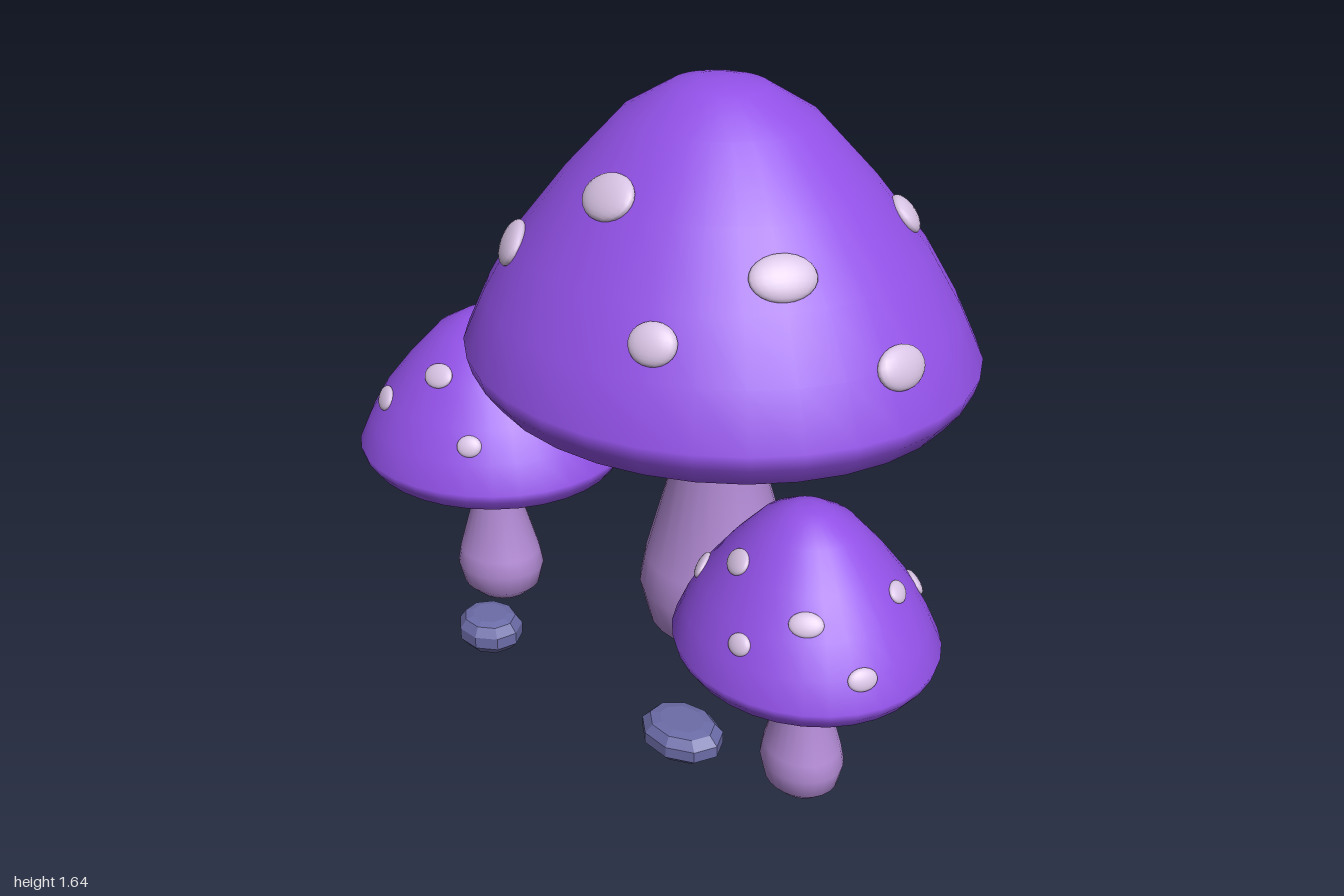
import * as THREE from 'three';

const mat = (name, color) => {
  const m = new THREE.MeshStandardMaterial({ color });
  m.name = name;
  return m;
};
const DEPTH = 0.91; // caps are slightly flattened front to back
const STEM_DEPTH = 0.87;

const CAP = [[0.66, 0.83], [0.703, 0.885], [0.716, 0.93], [0.65, 1.07], [0.56, 1.22], [0.42, 1.39],
  [0.265, 1.55], [0.13, 1.627], [0.06, 1.642], [0, 1.645]];
const UNDERSIDE = [[0, 0.768], [0.49, 0.773], [0.6, 0.802], [0.66, 0.83]];
const STEM = [[0, 0], [0.145, 0], [0.212, 0.06], [0.24, 0.17], [0.222, 0.26], [0.13, 0.57], [0.172, 0.775]];
const STONE = [[0, 0], [0.75, 0], [1, 0.28], [1, 0.65], [0.8, 0.93], [0.55, 1], [0, 1]];

// spots: x, z direction from the cap axis, height, half width, height ratio
const SPOTS = [
  [-0.04, 0.365, 1.41, 0.085, 0.76], [-0.38, 0.375, 1.21, 0.092, 0.66], [0.24, 0.505, 1.15, 0.063, 0.86],
  [0.42, 0.25, 1.29, 0.084, 0.72], [0.65, 0.075, 1.07, 0.075, 0.74], [0.4, -0.27, 1.305, 0.07, 0.78],
  [0.17, -0.535, 1.16, 0.084, 0.72], [-0.34, -0.205, 1.405, 0.072, 0.74], [-0.66, -0.065, 1.05, 0.06, 0.78],
];

const lathe = (profile, sides) =>
  new THREE.LatheGeometry(profile.map(([r, y]) => new THREE.Vector2(r, y)), sides);

// radius and slope of the cap at a given height
function capAt(y) {
  for (let i = 2; i < CAP.length - 1; i++) {
    const [r0, y0] = CAP[i], [r1, y1] = CAP[i + 1];
    if (y <= y1) return { r: r0 + (r1 - r0) * (y - y0) / (y1 - y0), dr: r1 - r0, dy: y1 - y0 };
  }
}

export function createModel() {
  const model = new THREE.Group();
  model.name = 'mushroomCluster';
  const purple = mat('cap purple', 0x9452ea);
  const dark = mat('underside purple', 0x64389a);
  const mauve = mat('stem mauve', 0xb48cd6);
  const pale = mat('spot lilac', 0xd8c3e4);
  const slate = mat('stone slate', 0x6c6ca8);

  const geo = {
    cap: lathe(CAP, 32).scale(1, 1, DEPTH),
    underside: lathe(UNDERSIDE, 32).scale(1, 1, DEPTH),
    stem: lathe(STEM, 24).scale(1, 1, STEM_DEPTH),
    spot: new THREE.SphereGeometry(1, 20, 12),
  };

  const add = (parent, name, geometry, material) => {
    const m = new THREE.Mesh(geometry, material);
    m.name = name;
    parent.add(m);
    return m;
  };

  // one mushroom: stem, cap, underside and spots lying on the cap
  function mushroom(name, x, z, size, turn) {
    const g = new THREE.Group();
    g.name = name;
    add(g, 'stem', geo.stem, mauve);
    add(g, 'cap', geo.cap, purple);
    add(g, 'capUnderside', geo.underside, dark);
    SPOTS.forEach(([sx, sz, y, half, ratio]) => {
      const a = Math.atan2(sx, sz / DEPTH);
      const { r, dr, dy } = capAt(y);
      const s = Math.sin(a), c = Math.cos(a);
      const across = new THREE.Vector3(c, 0, -s * DEPTH).normalize();
      const upSlope = new THREE.Vector3(s * dr, dy, c * dr * DEPTH).normalize();
      const normal = across.clone().cross(upSlope).normalize();
      upSlope.crossVectors(normal, across);
      const spot = add(g, 'spot', geo.spot, pale);
      spot.quaternion.setFromRotationMatrix(new THREE.Matrix4().makeBasis(across, upSlope, normal));
      spot.position.set(r * s, y, r * c * DEPTH);
      spot.scale.set(half, half * ratio, 0.026);
    });
    g.position.set(x, 0, z);
    g.rotation.y = turn;
    g.scale.setScalar(size);
    model.add(g);
  }
  mushroom('largeMushroom', 0.04, -0.015, 1, 0);
  mushroom('rightSmallMushroom', -0.605, 0.245, 0.553, 0.21);
  mushroom('leftSmallMushroom', 0.648, 0.35, 0.488, -0.36);

  // faceted stones on the ground
  function stone(name, x, z, w, h, d, turn) {
    const g = lathe(STONE, 9).toNonIndexed();
    g.rotateY(turn).scale(w, h, d);
    g.computeVertexNormals();
    add(model, name, g, slate).position.set(x, 0.005, z);
  }
  stone('rightStone', -0.405, 0.465, 0.097, 0.092, 0.085, 0.3);
  stone('leftStone', 0.33, 0.45, 0.12, 0.083, 0.09, 0.9);

  return model;
}
